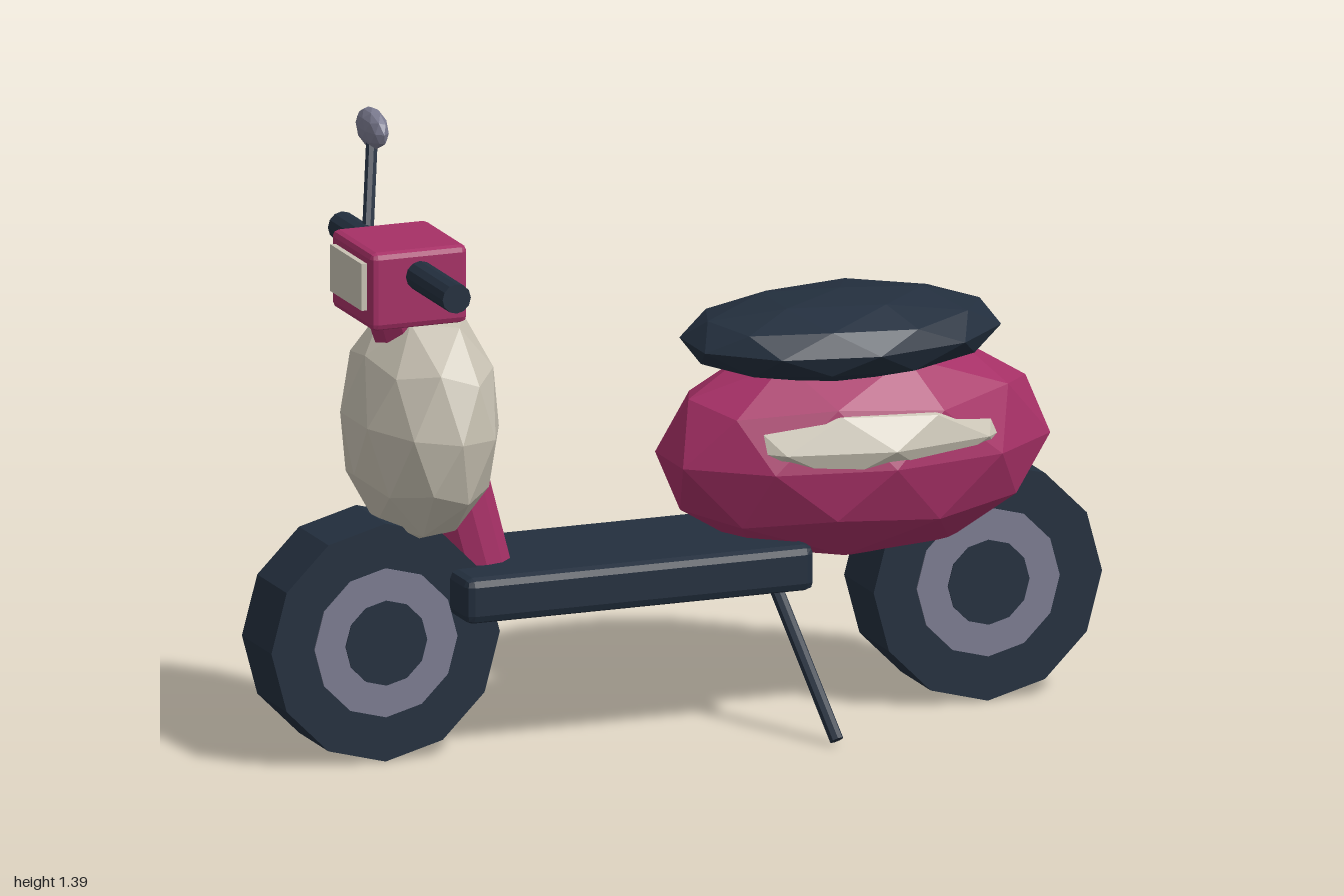
import * as THREE from 'three';
import { RoundedBoxGeometry } from 'three/addons/geometries/RoundedBoxGeometry.js';

const CZ = 0.035; // centre plane of the scooter

function paint(name, color) {
  const m = new THREE.MeshStandardMaterial({ color, flatShading: true });
  m.name = name;
  return m;
}

export function createModel() {
  const root = new THREE.Group();
  root.name = 'scooter';
  const dark = paint('darkSlate', 0x232f3e);
  const pink = paint('raspberry', 0xa63066);
  const cream = paint('cream', 0xc8c2b3);
  const grey = paint('metalGrey', 0x7b7b90);

  function add(name, geometry, material, x, y, z, parent = root) {
    const mesh = new THREE.Mesh(geometry, material);
    mesh.name = name;
    mesh.position.set(x, y, z);
    parent.add(mesh);
    return mesh;
  }

  // Low-poly ellipsoid with a corner at the top and bottom
  function blob(name, material, [x, y, z], [rx, ry, rz], tilt = 0) {
    const g = new THREE.IcosahedronGeometry(1, 1);
    g.rotateZ(Math.atan2(-1, (1 + Math.sqrt(5)) / 2));
    g.scale(rx, ry, rz);
    g.rotateZ(tilt);
    return add(name, g, material, x, y, z);
  }

  // Box with chamfered edges, given by its limits
  function box(name, material, x0, x1, y0, y1, width, bevel) {
    const g = new RoundedBoxGeometry(x1 - x0, y1 - y0, width, 1, bevel);
    return add(name, g, material, (x0 + x1) / 2, (y0 + y1) / 2, CZ);
  }

  // Straight round bar between two points
  function rod(name, material, from, to, r0, r1 = r0, sides = 10) {
    const a = new THREE.Vector3(...from);
    const b = new THREE.Vector3(...to);
    const dir = b.clone().sub(a);
    const g = new THREE.CylinderGeometry(r1, r0, dir.length(), sides);
    const mid = a.clone().lerp(b, 0.5);
    const mesh = add(name, g, material, mid.x, mid.y, mid.z);
    mesh.quaternion.setFromUnitVectors(new THREE.Vector3(0, 1, 0), dir.normalize());
    return mesh;
  }

  // Wheels: tyre, metal rim and dark hub, each slightly wider than the last
  for (const [name, x] of [['frontWheel', -0.725], ['rearWheel', 0.725]]) {
    const wheel = new THREE.Group();
    wheel.name = name;
    wheel.position.set(x, 0.275, CZ);
    root.add(wheel);
    const layers = [['tyre', dark, 0.275, 0.178], ['rim', grey, 0.172, 0.184], ['hub', dark, 0.098, 0.19]];
    for (const [part, material, r, width] of layers) {
      const g = new THREE.CylinderGeometry(r, r, width, 12);
      g.rotateX(Math.PI / 2);
      add(part, g, material, 0, 0, 0, wheel);
    }
  }

  // Floor and kickstand
  box('footboard', dark, -0.57, 0.27, 0.322, 0.428, 0.385, 0.02);
  rod('kickstand', dark, [0.19, 0.35, 0.155], [0.265, 0.012, 0.365], 0.016, 0.016, 8);

  // Rear body, side panels and seat
  blob('rearBody', pink, [0.435, 0.605, CZ], [0.465, 0.26, 0.273]);
  blob('sidePanels', cream, [0.43, 0.65, CZ], [0.415, 0.145, 0.283]);
  blob('seat', dark, [0.405, 0.865, CZ], [0.375, 0.1, 0.25]);

  // Steering column and front shield
  rod('steeringColumn', pink, [-0.47, 0.4, CZ], [-0.645, 1.03, CZ], 0.08, 0.09, 12);
  blob('frontShield', cream, [-0.608, 0.76, CZ], [0.167, 0.282, 0.265], -0.07);

  // Handlebar head, headlight and bar
  box('handlebarHead', pink, -0.772, -0.54, 1.005, 1.185, 0.252, 0.015);
  add('headlight', new THREE.BoxGeometry(0.016, 0.108, 0.19), cream, -0.777, 1.103, CZ);
  rod('handlebar', dark, [-0.657, 1.126, -0.31], [-0.657, 1.126, 0.383], 0.034, 0.034, 12);

  // Mirror
  rod('mirrorStem', dark, [-0.645, 1.13, -0.185], [-0.587, 1.335, -0.303], 0.014, 0.014, 8);
  blob('mirror', grey, [-0.587, 1.348, -0.303], [0.028, 0.047, 0.073]);

  return root;
}
